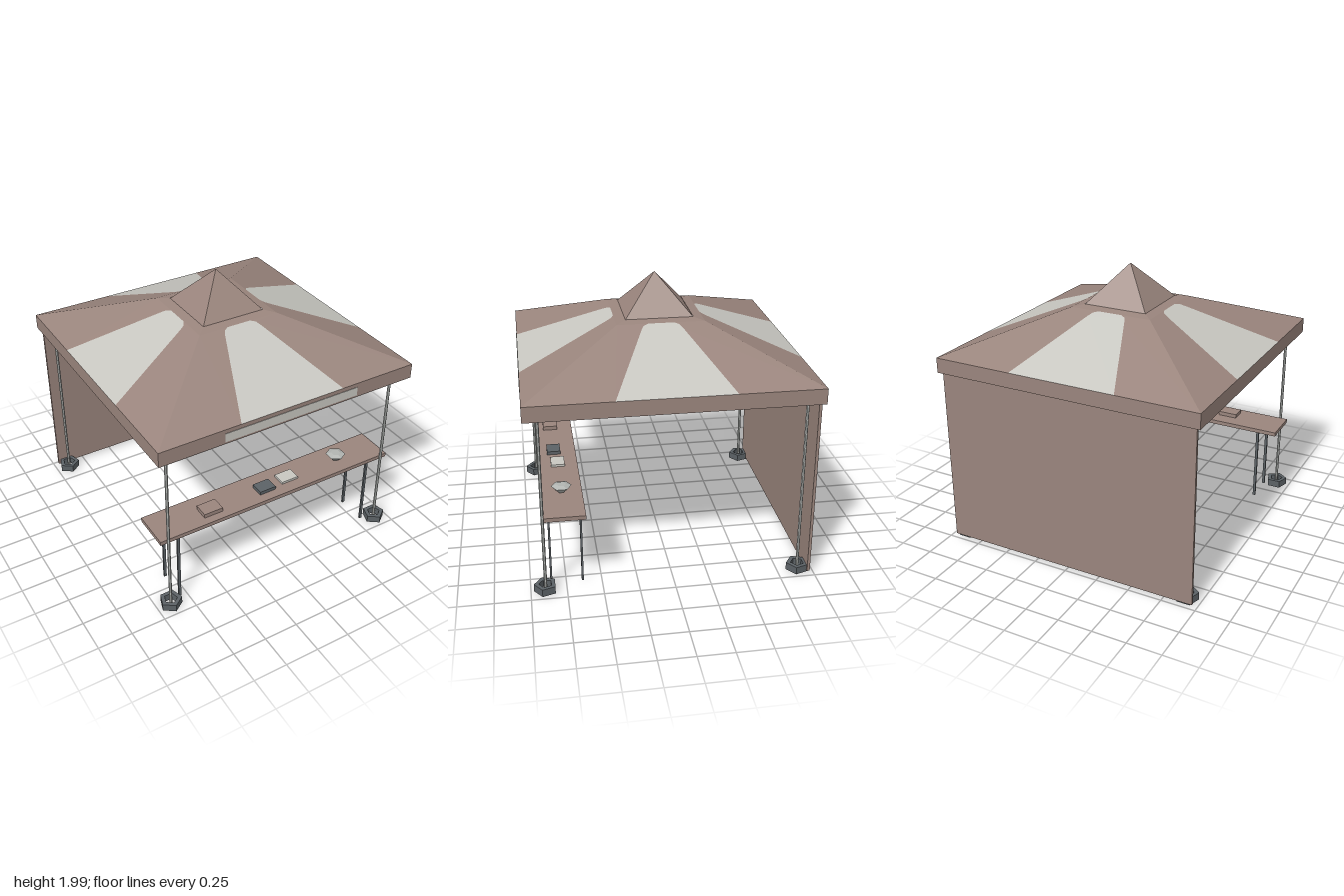
import * as THREE from 'three';

const flat = (name, color, side = THREE.FrontSide) =>
  new THREE.MeshStandardMaterial({ name, color, side, flatShading: true });

export function createModel() {
  const brown = flat('brown cloth', 0x9a857d);
  const brownOpen = flat('brown roof cloth', 0x9a857d, THREE.DoubleSide);
  const pale = flat('pale panel', 0xc8c7c1, THREE.DoubleSide);
  const steel = flat('grey metal', 0xb2b5b2);
  const dark = flat('dark grey', 0x5c6266);

  const model = new THREE.Group();
  model.name = 'marketStall';

  const add = (name, geometry, material, x = 0, y = 0, z = 0, parent = model) => {
    const mesh = new THREE.Mesh(geometry, material);
    mesh.name = name;
    mesh.position.set(x, y, z);
    parent.add(mesh);
    return mesh;
  };
  // Box given by its ranges along each axis
  const box = (name, material, [x0, x1], [y0, y1], [z0, z1], parent) =>
    add(name, new THREE.BoxGeometry(x1 - x0, y1 - y0, z1 - z0), material,
      (x0 + x1) / 2, (y0 + y1) / 2, (z0 + z1) / 2, parent);

  // Roof: outlines drawn in plan as [x, distance from centre], lifted to the slope
  const EAVE = 0.995, KINK = 0.31, TOP = 0.24;
  const roofHeight = d => d >= KINK
    ? 1.43 + (EAVE - d) / (EAVE - KINK) * 0.275
    : 1.705 + (KINK - d) / (KINK - TOP) * 0.012;
  const slope = outlines => {
    const shapes = outlines.map(pts => new THREE.Shape(pts.map(([x, d]) => new THREE.Vector2(x, -d))));
    const g = new THREE.ShapeGeometry(shapes);
    g.rotateX(-Math.PI / 2);
    const p = g.attributes.position;
    for (let i = 0; i < p.count; i++) p.setY(i, roofHeight(p.getZ(i)));
    g.computeVertexNormals();
    return g;
  };
  const mirror = pts => pts.map(([x, d]) => [-x, d]);
  const panelEdge = [[0.4, EAVE], [0.145, 0.37], [0.125, 0.33], [0.09, KINK]];
  const panelOutline = [...panelEdge, ...mirror(panelEdge).reverse()];
  const clothOutline = [...panelEdge, [KINK, KINK], [EAVE, EAVE]];
  const collarOutline = [[-KINK, KINK], [KINK, KINK], [TOP, TOP], [-TOP, TOP]];
  const clothGeometry = slope([clothOutline, mirror(clothOutline), collarOutline]);
  const panelGeometry = slope([panelOutline]);

  const roof = new THREE.Group();
  roof.name = 'roof';
  model.add(roof);
  for (let i = 0; i < 4; i++) {
    const side = new THREE.Group();
    side.name = 'roofSide';
    side.rotation.y = i * Math.PI / 2;
    roof.add(side);
    add('roofCloth', clothGeometry, brownOpen, 0, 0, 0, side);
    add('roofPanel', panelGeometry, pale, 0, 0, 0, side);
    box('valance', brown, [-EAVE, EAVE], [1.32, 1.43], [EAVE - 0.008, EAVE], side);
  }
  const peak = new THREE.CylinderGeometry(0, TOP * Math.SQRT2, 0.275, 4, 1, true);
  peak.rotateY(Math.PI / 4);
  add('roofPeak', peak, brownOpen, 0, 1.8525, 0, roof);
  box('signBoard', pale, [-0.52, 0.52], [1.335, 1.4], [EAVE, EAVE + 0.003]);

  // Back wall
  box('backWall', brown, [-0.965, 0.965], [0.015, 1.34], [-0.973, -0.953]);

  // Posts standing in five-sided ring feet
  const postGeometry = new THREE.CylinderGeometry(0.011, 0.011, 1.45, 6);
  const ring = [[0.048, 0], [0.081, 0], [0.081, 0.055], [0.048, 0.055], [0.048, 0]];
  const footGeometry = new THREE.LatheGeometry(ring.map(([r, y]) => new THREE.Vector2(r, y)), 5);
  for (const x of [-0.897, 0.897]) {
    for (const z of [-0.897, 0.897]) {
      add('post', postGeometry, steel, x, 0.725, z);
      add('postFoot', footGeometry, dark, x, 0, z);
    }
  }

  // Counter and its legs
  const counter = new THREE.Group();
  counter.name = 'counter';
  model.add(counter);
  box('counterTop', brown, [-0.953, 0.953], [0.57, 0.6], [0.605, 0.89], counter);
  for (const x of [-0.803, 0.803]) {
    for (const z of [0.634, 0.854]) {
      box('counterLeg', dark, [x - 0.01, x + 0.01], [0, 0.57], [z - 0.007, z + 0.007], counter);
    }
  }

  // Goods on the counter
  box('brownBox', brown, [-0.58, -0.435], [0.6, 0.63], [0.72, 0.83], counter);
  box('darkBox', dark, [-0.12, 0.01], [0.6, 0.625], [0.72, 0.82], counter);
  box('paleBox', pale, [0.08, 0.215], [0.6, 0.617], [0.7, 0.8], counter);
  const bowl = [[0, 0], [0.03, 0], [0.0725, 0.042], [0.035, 0.055], [0, 0.055]];
  add('bowl', new THREE.LatheGeometry(bowl.map(([r, y]) => new THREE.Vector2(r, y)), 6),
    steel, 0.588, 0.6, 0.748, counter);

  return model;
}
